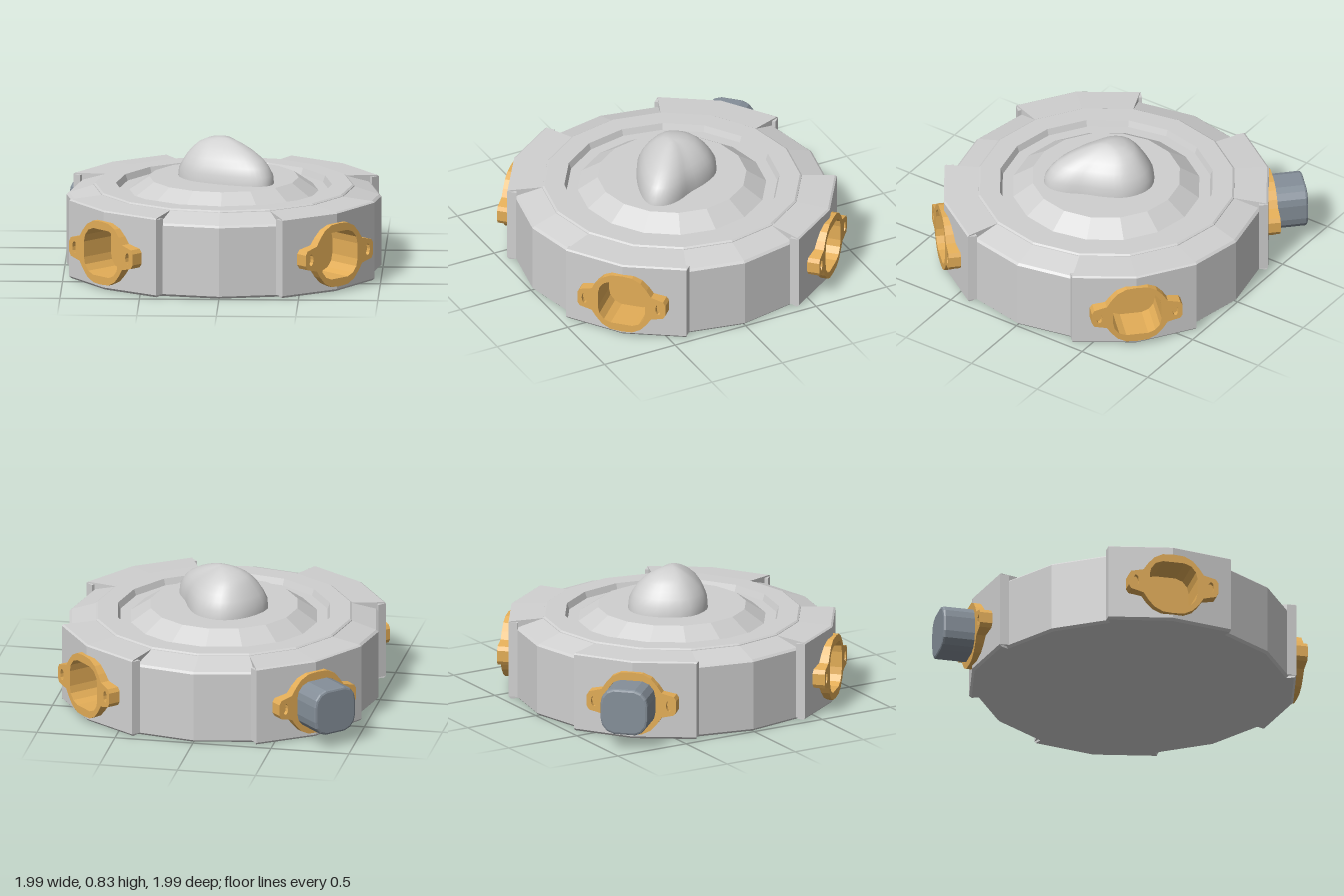
import * as THREE from 'three';

const STEP = Math.PI / 8; // sixteen-sided plan
const MID_Y = 0.24;       // height of the socket centres
const R_BLOCK = 1.04;

const grey = new THREE.MeshStandardMaterial({ color: 0xd0d0d0, side: THREE.DoubleSide });
grey.name = 'lightGrey';
const gold = new THREE.MeshStandardMaterial({ color: 0xe3ad57, side: THREE.DoubleSide });
gold.name = 'gold';
const steel = new THREE.MeshStandardMaterial({ color: 0x858f99 });
steel.name = 'steelGrey';

const v2 = (p) => new THREE.Vector2(p[0], p[1]);

// Faceted normals for hard-edged parts
function flat(geo) {
  const g = geo.index ? geo.toNonIndexed() : geo;
  g.computeVertexNormals();
  return g;
}

function add(parent, name, geo, material) {
  const mesh = new THREE.Mesh(geo, material);
  mesh.name = name;
  parent.add(mesh);
  return mesh;
}

// Revolved profile: whole ring or a two-facet sector centred on +z
const ring = (pts) => flat(new THREE.LatheGeometry(pts.map(v2), 16));
const sector = (pts) => flat(new THREE.LatheGeometry(pts.map(v2), 2, -STEP, 2 * STEP));

// Mirror a quarter outline (top to right) into a full closed loop
function mirrorQuarter(q) {
  const right = [...q, ...q.slice(0, -1).reverse().map(([x, y]) => [x, -y])];
  return [...right, ...right.slice(1, -1).reverse().map(([x, y]) => [-x, y])];
}

const holeQuarter = [[0, 0.15], [0.07, 0.15], [0.115, 0.132], [0.145, 0.095], [0.155, 0.05], [0.155, 0]];
const holeLoop = (s = 1) => mirrorQuarter(holeQuarter).map(([x, y]) => v2([x * s, y * s]));
const plateLoop = mirrorQuarter([
  [0, 0.203], [0.07, 0.198], [0.125, 0.17], [0.165, 0.125], [0.195, 0.08],
  [0.235, 0.07], [0.275, 0.06], [0.29, 0.035], [0.29, 0],
]).map(v2);

function extrude(outline, holes, z0, z1, bevel = 0) {
  const shape = new THREE.Shape(outline);
  holes.forEach((h) => shape.holes.push(new THREE.Path(h)));
  const geo = new THREE.ExtrudeGeometry(shape, {
    depth: z1 - z0 - 2 * bevel, bevelEnabled: bevel > 0, bevelSegments: 2,
    bevelSize: bevel, bevelThickness: bevel, bevelOffset: -bevel, curveSegments: 8,
  });
  return flat(geo.translate(0, 0, z0 + bevel));
}

// Wall of a corner block: two bent halves with a hole for the socket
function blockWall(side) {
  const w = R_BLOCK * Math.sin(STEP);
  const slope = (1 - Math.cos(STEP)) / Math.sin(STEP);
  const arc = holeQuarter.map(([x, y]) => [x * 1.12, y * 1.12]);
  const half = [...arc, ...arc.slice(0, -1).reverse().map(([x, y]) => [x, -y])];
  const pts = [[0, 0.015 - MID_Y], [w, 0.015 - MID_Y], [w, 0.5 - MID_Y], [0, 0.5 - MID_Y], ...half];
  const geo = extrude(pts.map(([x, y]) => v2([x * side, y])), [], R_BLOCK - 0.06, R_BLOCK);
  const p = geo.attributes.position;
  for (let i = 0; i < p.count; i++) p.setZ(i, p.getZ(i) - Math.abs(p.getX(i)) * slope);
  geo.translate(0, MID_Y, 0);
  return flat(geo);
}

function cornerBlock() {
  const g = new THREE.Group();
  g.name = 'cornerBlock';
  add(g, 'blockTop', sector([[R_BLOCK, 0.5], [R_BLOCK - 0.012, 0.508], [0.81, 0.52]]), grey);
  add(g, 'blockBase', sector([[0.9, 0], [R_BLOCK - 0.015, 0], [R_BLOCK, 0.015]]), grey);
  for (const side of [-1, 1]) {
    add(g, 'blockWall', blockWall(side), grey);
    // Radial end face, from the ring out to the wall
    const end = new THREE.ShapeGeometry(new THREE.Shape([
      [0.8, 0], [R_BLOCK - 0.015, 0], [R_BLOCK, 0.015], [R_BLOCK, 0.5], [R_BLOCK - 0.012, 0.508], [0.81, 0.52],
    ].map(v2)));
    add(g, 'blockEnd', end, grey).rotation.y = -Math.PI / 2 + side * STEP;
  }
  return g;
}

function socket() {
  const g = new THREE.Group();
  g.name = 'socket';
  g.position.y = MID_Y;
  const slots = [-1, 1].map((s) =>
    new THREE.Path().absellipse(s * 0.243, 0, 0.019, 0.038, 0, Math.PI * 2).getPoints(5).slice(0, -1));
  add(g, 'flangeBack', extrude(plateLoop, [holeLoop()], 0.975, 1.035), gold);
  add(g, 'flangeFront', extrude(plateLoop, [holeLoop(), ...slots], 1.035, 1.062), gold);
  add(g, 'cupWall', extrude(holeLoop(1.08), [holeLoop()], 0.83, 0.985), gold);
  add(g, 'cupFloor', extrude(holeLoop(1.08), [], 0.82, 0.83), gold);
  return g;
}

// Smooth lopsided dome lofted from one plan outline that shrinks with height
function domeGeometry() {
  const plan = [
    [-0.29, -0.04], [-0.2, -0.22], [-0.08, -0.3], [0.02, -0.3], [0.13, -0.24], [0.2, -0.13], [0.25, 0],
    [0.305, 0.11], [0.32, 0.21], [0.28, 0.285], [0.2, 0.3], [0.05, 0.265], [-0.1, 0.2], [-0.22, 0.12],
  ].map(([x, z]) => new THREE.Vector3(x, 0, z));
  const n = 40;
  const loop = new THREE.CatmullRomCurve3(plan, true).getPoints(n).slice(0, n);
  // height, scale, shift of each section
  const levels = [
    [0.57, 1, 0], [0.63, 0.98, 0], [0.68, 0.89, 0], [0.72, 0.79, -0.003], [0.76, 0.64, -0.012],
    [0.79, 0.49, -0.02], [0.815, 0.31, -0.02], [0.828, 0.14, -0.01], [0.831, 0, 0],
  ];
  const pos = [], idx = [];
  levels.forEach(([y, s, c], j) => loop.forEach((p, i) => {
    pos.push(p.x * s + c, y, p.z * s + c);
    if (j === 0) return;
    const k = (i + 1) % n, a = (j - 1) * n, b = j * n;
    idx.push(a + i, b + i, a + k, a + k, b + i, b + k);
  }));
  const geo = new THREE.BufferGeometry();
  geo.setAttribute('position', new THREE.Float32BufferAttribute(pos, 3));
  geo.setIndex(idx);
  geo.computeVertexNormals();
  // The pole points straight up
  for (let i = n * (levels.length - 1); i < n * levels.length; i++) geo.attributes.normal.setXYZ(i, 0, 1, 0);
  return geo;
}

export function createModel() {
  const model = new THREE.Group();
  model.name = 'domedHub';

  add(model, 'underside', ring([[0, 0], [0.975, 0]]), grey);
  // Rim, sunken groove and raised centre plate
  add(model, 'topPlate', ring([
    [0.825, 0.5], [0.82, 0.522], [0.808, 0.53], [0.68, 0.53], [0.665, 0.49],
    [0.595, 0.49], [0.47, 0.575], [0, 0.575],
  ]), grey);
  add(model, 'dome', domeGeometry(), grey);

  for (let i = 0; i < 4; i++) {
    const panel = add(model, 'sidePanel', sector([
      [0.975, 0], [0.99, 0.015], [0.99, 0.455], [0.975, 0.468], [0.82, 0.518],
    ]), grey);
    panel.rotation.y = i * Math.PI / 2;

    const corner = new THREE.Group();
    corner.name = 'corner';
    corner.rotation.y = Math.PI / 4 + i * Math.PI / 2;
    corner.add(cornerBlock(), socket());
    // One plug, in the back right socket
    if (i === 2) {
      add(corner, 'plug', extrude(holeLoop(0.99), [], 0.84, 1.265, 0.015), steel).position.y = MID_Y;
    }
    model.add(corner);
  }
  return model;
}
